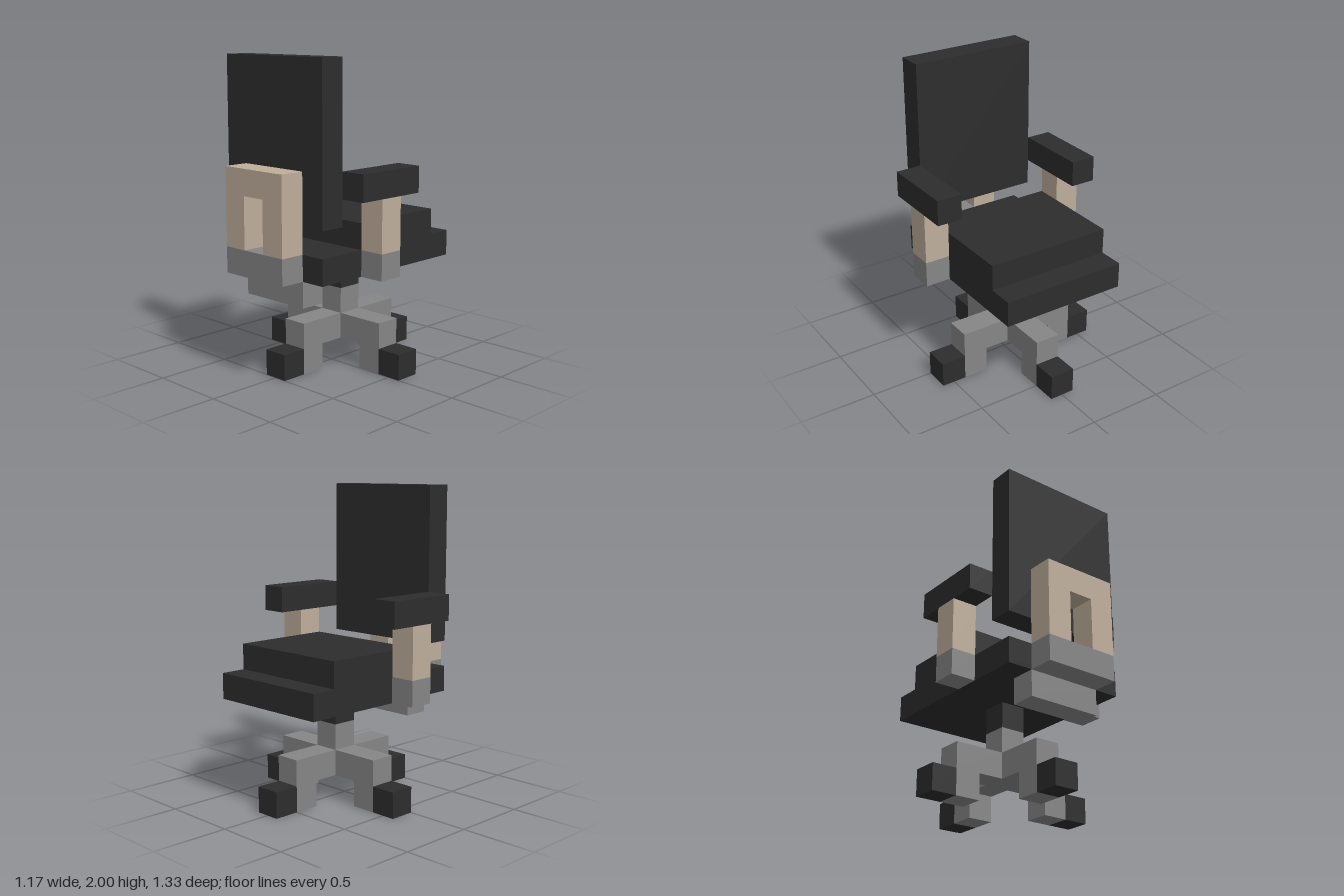
import * as THREE from 'three';

const U = 1 / 6; // one grid block

const material = (name, color) => {
  const m = new THREE.MeshStandardMaterial({ color });
  m.name = name;
  return m;
};

export function createModel() {
  const chair = new THREE.Group();
  chair.name = 'officeChair';
  const black = material('blackFabric', 0x2d2d2d);
  const grey = material('greyMetal', 0x868686);
  const tan = material('tanWood', 0xbfae9b);

  // Box between two corners, given in blocks
  const block = (name, mat, [x0, y0, z0], [x1, y1, z1]) => {
    const geo = new THREE.BoxGeometry((x1 - x0) * U, (y1 - y0) * U, (z1 - z0) * U);
    const mesh = new THREE.Mesh(geo, mat);
    mesh.position.set((x0 + x1) * U / 2, (y0 + y1) * U / 2, (z0 + z1) * U / 2);
    mesh.name = name;
    chair.add(mesh);
  };
  // The same box on both sides of x = 0
  const pair = (name, mat, [x0, y0, z0], [x1, y1, z1]) => {
    block(name + 'Left', mat, [x0, y0, z0], [x1, y1, z1]);
    block(name + 'Right', mat, [-x1, y0, z0], [-x0, y1, z1]);
  };

  // Seat and backrest
  block('seat', black, [-2.5, 4, -4], [2.5, 5, 3]);
  block('cushion', black, [-2.5, 5, -3], [2.5, 6, 1]);
  block('backrest', black, [-2.5, 6, 2], [2.5, 12, 3]);

  // Armrests on their posts
  pair('armrest', black, [2.5, 7, -1], [3.5, 8, 2]);
  pair('armPost', tan, [2.5, 5, 0], [3.5, 7, 1]);
  pair('armBracket', grey, [2.5, 4, 0], [3.5, 5, 1]);

  // Open frame that carries the backrest
  const frame = new THREE.Shape();
  [[-1.5, 5], [-0.5, 5], [-0.5, 7], [0.5, 7], [0.5, 5], [1.5, 5], [1.5, 8], [-1.5, 8]]
    .forEach(([x, y], i) => (i ? frame.lineTo(x * U, y * U) : frame.moveTo(x * U, y * U)));
  const backFrame = new THREE.Mesh(
    new THREE.ExtrudeGeometry(frame, { depth: U, bevelEnabled: false }), tan);
  backFrame.position.z = 3 * U;
  backFrame.name = 'backFrame';
  chair.add(backFrame);
  block('frameBracket', grey, [-1.5, 4, 3], [1.5, 5, 4]);
  block('underSeatBracket', grey, [-1.5, 3, 2], [1.5, 4, 3]);

  // Central column
  block('columnTop', black, [-0.5, 3, -1], [0.5, 4, 0]);
  block('column', grey, [-0.5, 1, -1], [0.5, 3, 0]);

  // Four-armed base with a wheel at the end of each arm
  pair('baseSideArm', grey, [0.5, 1, -1], [2.5, 2, 0]);
  pair('baseSideLeg', grey, [1.5, 0, -1], [2.5, 1, 0]);
  pair('sideWheel', black, [2.5, 0, -1], [3.5, 1, 0]);
  block('baseFrontArm', grey, [-0.5, 1, 0], [0.5, 2, 2]);
  block('baseFrontLeg', grey, [-0.5, 0, 1], [0.5, 1, 2]);
  block('frontWheel', black, [-0.5, 0, 2], [0.5, 1, 3]);
  block('baseRearArm', grey, [-0.5, 1, -3], [0.5, 2, -1]);
  block('baseRearLeg', grey, [-0.5, 0, -3], [0.5, 1, -2]);
  block('rearWheel', black, [-0.5, 0, -4], [0.5, 1, -3]);

  return chair;
}
